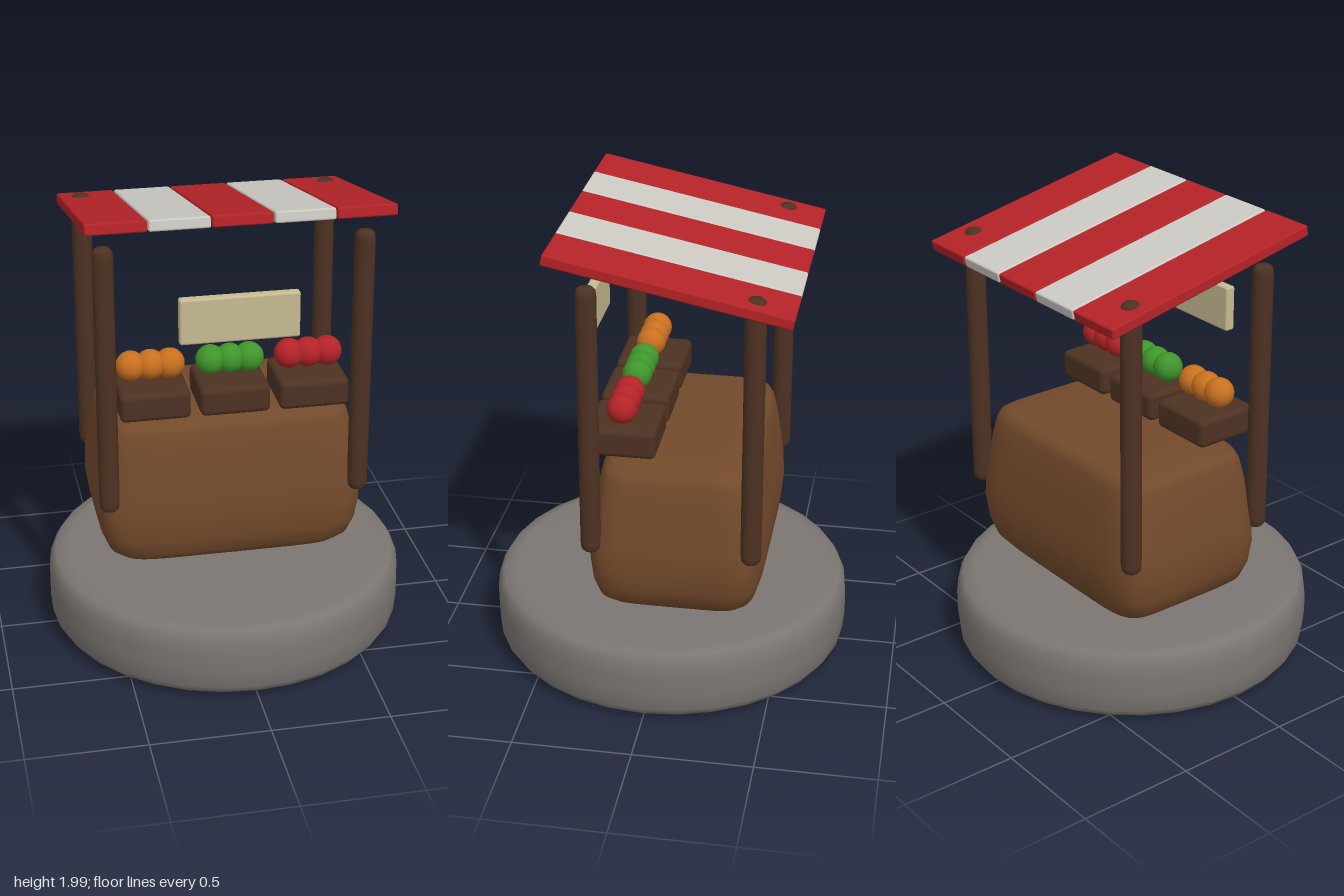
import * as THREE from 'three';
import { RoundedBoxGeometry } from 'three/addons/geometries/RoundedBoxGeometry.js';

function material(name, color) {
  const m = new THREE.MeshStandardMaterial({ color });
  m.name = name;
  return m;
}

// Smooth turned solid from [radius, height] pairs, bottom to top
function turned(profile, sides) {
  return new THREE.LatheGeometry(profile.map(([r, y]) => new THREE.Vector2(r, y)), sides);
}

// Closed loft through rounded-rectangle rows of [y, half width, half depth]
function loft(rows, sides, power) {
  const pos = [], index = [];
  const soft = (v) => Math.sign(v) * Math.pow(Math.abs(v), 2 / power);
  for (const [y, hx, hz] of rows) {
    for (let i = 0; i < sides; i++) {
      const a = (i / sides) * Math.PI * 2;
      pos.push(soft(Math.cos(a)) * hx, y, soft(Math.sin(a)) * hz);
    }
  }
  for (let r = 0; r < rows.length - 1; r++) {
    for (let i = 0; i < sides; i++) {
      const j = (i + 1) % sides;
      const a = r * sides + i, b = r * sides + j, c = a + sides, d = b + sides;
      index.push(a, c, b, b, c, d);
    }
  }
  const g = new THREE.BufferGeometry();
  g.setAttribute('position', new THREE.Float32BufferAttribute(pos, 3));
  g.setIndex(index);
  g.computeVertexNormals();
  return g;
}

export function createModel() {
  const group = new THREE.Group();
  group.name = 'marketStall';

  const stone = material('stone', 0x7b7672);
  const wood = material('wood', 0x734a2b);
  const darkWood = material('darkWood', 0x4d3222);
  const red = material('red', 0xb42327);
  const white = material('white', 0xcccac3);
  const cream = material('cream', 0xc6ba92);
  const orange = material('orange', 0xc8701f);
  const green = material('green', 0x3f962b);

  function add(name, geometry, mat, x, y, z, parent = group) {
    const mesh = new THREE.Mesh(geometry, mat);
    mesh.name = name;
    mesh.position.set(x, y, z);
    parent.add(mesh);
    return mesh;
  }

  // Round stone base
  add('base', turned([
    [0, 0], [0.15, 0.004], [0.69, 0.012], [0.745, 0.025], [0.768, 0.06], [0.775, 0.14],
    [0.775, 0.22], [0.768, 0.28], [0.745, 0.32], [0.69, 0.332], [0.15, 0.337], [0, 0.338],
  ], 32), stone, 0, 0, 0);

  // Softly bulging counter, narrower towards the top
  add('counter', loft([
    [0.36, 0.001, 0.001], [0.364, 0.3, 0.18], [0.374, 0.43, 0.265], [0.392, 0.485, 0.305],
    [0.43, 0.53, 0.337], [0.5, 0.558, 0.358], [0.6, 0.573, 0.367], [0.7, 0.569, 0.362],
    [0.9, 0.537, 0.336], [0.98, 0.522, 0.318], [1.01, 0.507, 0.303], [1.03, 0.475, 0.275],
    [1.043, 0.3, 0.18], [1.05, 0.001, 0.001],
  ], 64, 7), wood, 0, 0, -0.085);

  // Four posts with rounded ends
  const postGeometry = turned([
    [0, 0.67], [0.03, 0.673], [0.04, 0.685], [0.043, 0.71],
    [0.043, 1.8], [0.04, 1.825], [0.03, 1.837], [0, 1.84],
  ], 16);
  for (const x of [-0.535, 0.535]) {
    add('frontPost', postGeometry, darkWood, x, 0, 0.25);
    add('backPost', postGeometry, darkWood, x, 0, -0.415);
  }

  // Sloping striped awning, high at the front
  const awning = new THREE.Group();
  awning.name = 'awning';
  awning.position.set(0, 1.873, -0.083);
  awning.rotation.x = -Math.atan2(0.2, 0.97);
  group.add(awning);
  const stripe = new RoundedBoxGeometry(0.245, 0.047, 0.995, 2, 0.008);
  for (let i = 0; i < 5; i++) {
    add('awningStripe', stripe, i % 2 ? white : red, (i - 2) * 0.25, 0, 0, awning);
  }

  // Blank sign board
  add('signBoard', new RoundedBoxGeometry(0.495, 0.195, 0.045, 2, 0.01), cream, 0, 1.538, 0.335);

  // Crates, each with a row of three fruits
  const crate = new RoundedBoxGeometry(0.295, 0.125, 0.29, 3, 0.025);
  const fruit = new THREE.SphereGeometry(0.063, 20, 14);
  [orange, green, red].forEach((mat, i) => {
    const x = (i - 1) * 0.335;
    add('crate', crate, darkWood, x, 1.138, 0.135);
    for (const dx of [-0.082, 0, 0.082]) add('fruit', fruit, mat, x + dx, 1.273, 0.135);
  });

  return group;
}
